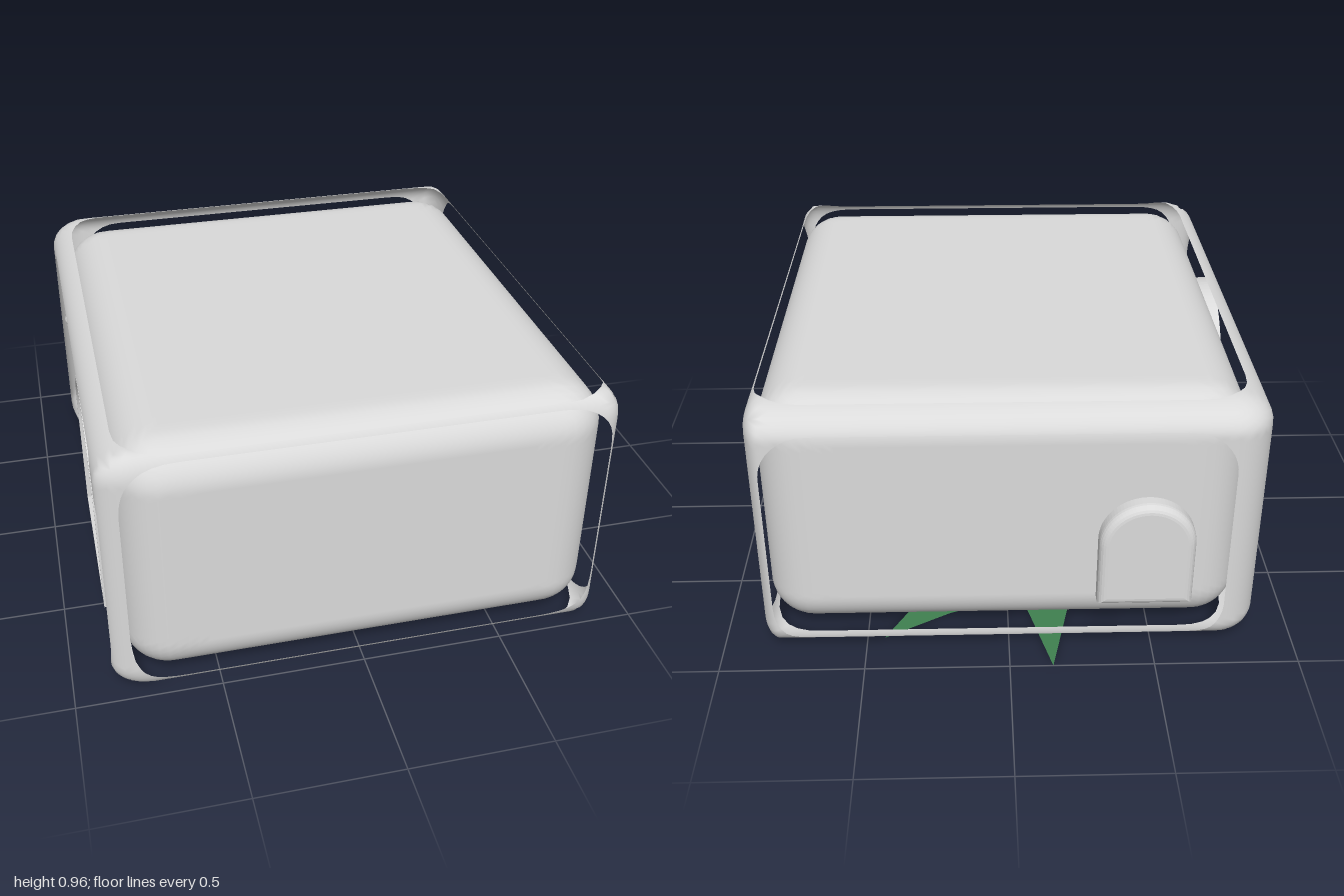
import * as THREE from 'three';

const grey = new THREE.MeshStandardMaterial({ color: 0xdadada, side: THREE.DoubleSide });
grey.name = 'pale grey';
const green = new THREE.MeshStandardMaterial({ color: 0x3f8050, side: THREE.DoubleSide });
green.name = 'leaf green';

// Test for a point inside a rounded rectangle
const roundRect = (a0, a1, b0, b1, r) => ({
  centre: [(a0 + a1) / 2, (b0 + b1) / 2],
  inside: (a, b) => {
    const da = Math.abs(a - (a0 + a1) / 2) - (a1 - a0) / 2 + r;
    const db = Math.abs(b - (b0 + b1) / 2) - (b1 - b0) / 2 + r;
    return Math.hypot(Math.max(da, 0), Math.max(db, 0)) <= r && da <= r && db <= r;
  },
});

// Rounded box surface; each face is a ring of quads from its opening to its edge.
// lo, hi: extents; inLo, inHi: rounding on each side; holes: keyed by axis and sign.
function roundedShell(lo, hi, inLo, inHi, holes) {
  const pos = [], nor = [], idx = [];
  const SIDE = 28, RINGS = 24;
  for (let k = 0; k < 3; k++) for (const s of [-1, 1]) {
    const a = (k + 1) % 3, b = (k + 2) % 3;
    const hole = holes[k + (s > 0 ? '+' : '-')];
    const c = hole ? hole.centre : [(lo[a] + hi[a]) / 2, (lo[b] + hi[b]) / 2];
    const corners = [[lo[a], lo[b]], [hi[a], lo[b]], [hi[a], hi[b]], [lo[a], hi[b]]];
    const base = pos.length / 3, count = SIDE * 4;
    for (let i = 0; i < count; i++) {
      const p = corners[Math.floor(i / SIDE)], q = corners[(Math.floor(i / SIDE) + 1) % 4];
      const f = (i % SIDE) / SIDE;
      const e = [p[0] + (q[0] - p[0]) * f, p[1] + (q[1] - p[1]) * f];
      let t0 = 0, t1 = 1;
      if (hole) for (let n = 0; n < 24; n++) {
        const t = (t0 + t1) / 2;
        if (hole.inside(c[0] + (e[0] - c[0]) * t, c[1] + (e[1] - c[1]) * t)) t0 = t; else t1 = t;
      }
      for (let j = 0; j <= RINGS; j++) {
        const t = t0 + (1 - t0) * j / RINGS;
        const v = [0, 0, 0];
        v[k] = s > 0 ? hi[k] : lo[k];
        v[a] = c[0] + (e[0] - c[0]) * t;
        v[b] = c[1] + (e[1] - c[1]) * t;
        // Push the sharp box point onto the rounded one
        const core = v.map((x, m) => Math.min(Math.max(x, lo[m] + inLo[m]), hi[m] - inHi[m]));
        const rad = v.map((x, m) => (x < core[m] ? inLo[m] : inHi[m]));
        const d = new THREE.Vector3(...v.map((x, m) => (x - core[m]) / rad[m])).normalize().toArray();
        pos.push(...core.map((x, m) => x + d[m] * rad[m]));
        nor.push(...new THREE.Vector3(...d.map((x, m) => x / rad[m])).normalize().toArray());
      }
    }
    for (let i = 0; i < count; i++) for (let j = 0; j < RINGS; j++) {
      const A = base + i * (RINGS + 1) + j, B = base + ((i + 1) % count) * (RINGS + 1) + j;
      if (s > 0) idx.push(A, A + 1, B + 1, A, B + 1, B);
      else idx.push(A, B + 1, A + 1, A, B, B + 1);
    }
  }
  const g = new THREE.BufferGeometry();
  g.setAttribute('position', new THREE.Float32BufferAttribute(pos, 3));
  g.setAttribute('normal', new THREE.Float32BufferAttribute(nor, 3));
  g.setIndex(idx);
  return g;
}

// Round-topped outline, centred on x = 0
function archOutline(target, w, y0, y1) {
  const r = w / 2;
  target.moveTo(-r, y0);
  target.lineTo(r, y0);
  target.lineTo(r, y1 - r);
  target.absarc(0, y1 - r, r, 0, Math.PI, false);
  target.lineTo(-r, y0);
  return target;
}

export function createModel() {
  const model = new THREE.Group();
  const add = (name, geometry, material, parent = model) => {
    const mesh = new THREE.Mesh(geometry, material);
    mesh.name = name;
    parent.add(mesh);
    return mesh;
  };

  // Open outer frame: rounded edges around six openings
  add('outerFrame', roundedShell([-0.865, 0.008, -0.915], [0.86, 0.957, 0.99],
    [0.14, 0.1, 0.14], [0.065, 0.1, 0.065], {
      '0+': roundRect(0.025, 0.94, -0.83, 0.97, 0.2),
      '0-': roundRect(0.03, 0.88, -0.77, 0.94, 0.16),
      '1+': roundRect(-0.83, 0.97, -0.8, 0.845, 0.17),
      '1-': roundRect(-0.81, 0.97, -0.79, 0.845, 0.17),
      '2+': roundRect(-0.81, 0.845, 0.025, 0.94, 0.2),
      '2-': roundRect(-0.74, 0.81, 0.03, 0.88, 0.16),
    }), grey);

  // Soft inner body with a round-topped doorway on one side
  const door = { w: 0.64, y0: 0.13, y1: 0.82, z: 0.33 };
  const doorway = {
    centre: [0.48, door.z],
    inside: (y, z) => {
      const r = door.w / 2, dz = Math.abs(z - door.z);
      return y > door.y0 && dz < r && (y < door.y1 - r || Math.hypot(dz, y - door.y1 + r) < r);
    },
  };
  const soft = [0.16, 0.15, 0.16];
  add('innerBody', roundedShell([-0.81, 0.025, -0.83], [0.845, 0.94, 0.97], soft, soft,
    { '0-': doorway }), grey);

  // Raised rim around the doorway
  const rim = archOutline(new THREE.Shape(), door.w + 0.02, door.y0 - 0.01, door.y1 + 0.01);
  rim.holes.push(archOutline(new THREE.Path(), door.w - 0.02, door.y0 + 0.01, door.y1 - 0.01));
  const rimMesh = add('doorRim',
    new THREE.ExtrudeGeometry(rim, { depth: 0.055, bevelEnabled: false, curveSegments: 24 }), grey);
  rimMesh.rotation.y = -Math.PI / 2;
  rimMesh.position.set(-0.805, 0, door.z);

  // Raised round-topped panel on the back
  const panel = add('backPanel', new THREE.ExtrudeGeometry(archOutline(new THREE.Shape(), 0.27, 0.2, 0.55), {
    depth: 0.04, bevelThickness: 0.03, bevelSize: 0.03, bevelSegments: 5, curveSegments: 20,
  }), grey);
  panel.rotation.y = Math.PI;
  panel.position.set(-0.47, 0, -0.825);

  // Two small round pegs beside the doorway
  for (const [y, z, r] of [[0.69, -0.44, 0.042], [0.61, -0.6, 0.034]]) {
    const peg = new THREE.Group();
    peg.name = 'sidePeg';
    add('pegBase', new THREE.CylinderGeometry(r, r * 1.2, 0.05, 20), grey, peg);
    const tip = add('pegTip', new THREE.SphereGeometry(r * 0.6, 16, 10), grey, peg);
    tip.position.y = 0.02;
    peg.rotation.z = Math.PI / 2;
    peg.position.set(-0.815, y, z);
    model.add(peg);
  }

  // Flat leaf blades lying under the body, as x and z corners
  const blades = [
    [[-0.15, -1.0], [-0.23, -0.65], [-0.06, -0.65]],
    [[0.44, -0.84], [0.345, -0.67], [0.0, -0.63], [0.21, -0.71]],
    [[0.62, -0.55], [0.59, -0.5], [0.65, -0.51]],
    [[0.59, -0.05], [0.49, -0.1], [0.57, -0.12]],
  ];
  const leaves = new THREE.Group();
  leaves.name = 'leaves';
  model.add(leaves);
  for (const blade of blades) {
    const outline = new THREE.Shape(blade.map(([x, z]) => new THREE.Vector2(x, -z)));
    add('leafBlade', new THREE.ShapeGeometry(outline).rotateX(-Math.PI / 2), green, leaves);
  }
  return model;
}
